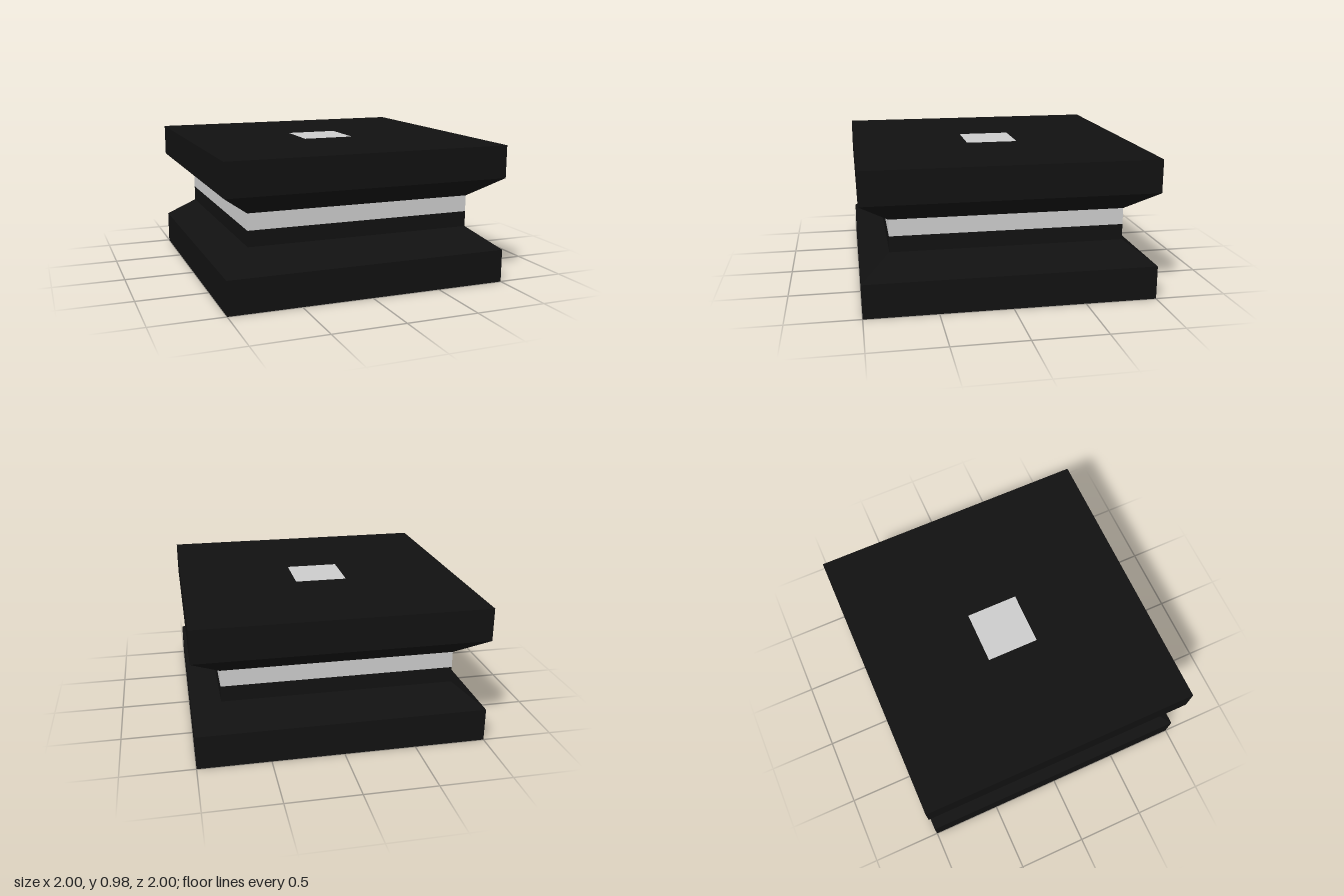
import * as THREE from 'three';

const dark = new THREE.MeshStandardMaterial({ color: 0x111111, flatShading: true });
const grey = new THREE.MeshStandardMaterial({ color: 0xcccccc, flatShading: true });

// Sweep a [half-width, height] profile around a square; list points from bottom to top.
function squareSweep(name, profile, material) {
  const points = profile.map(([halfWidth, y]) => new THREE.Vector2(halfWidth * Math.SQRT2, y));
  const mesh = new THREE.Mesh(new THREE.LatheGeometry(points, 4, Math.PI / 4), material);
  mesh.name = name;
  return mesh;
}

export function createModel() {
  const model = new THREE.Group();
  model.name = 'squarePedestal';

  const wide = 1, waist = 0.805, inset = 0.185, top = 0.98;
  const bandBottom = 0.49, bandTop = 0.605;

  model.add(
    // Base slab tapering in to the waist
    squareSweep('base', [[0, 0], [wide, 0], [wide, 0.235], [waist, 0.38], [waist, bandBottom]], dark),
    // Light band around the waist
    squareSweep('waistBand', [[waist, bandBottom], [waist, bandTop]], grey),
    // Upper slab flaring out, with a square opening in its top face
    squareSweep('topSlab', [[waist, bandTop], [wide, 0.75], [wide, top], [inset, top]], dark),
    // Flush light square filling the opening
    squareSweep('topInset', [[inset, top], [0, top]], grey),
  );
  return model;
}
